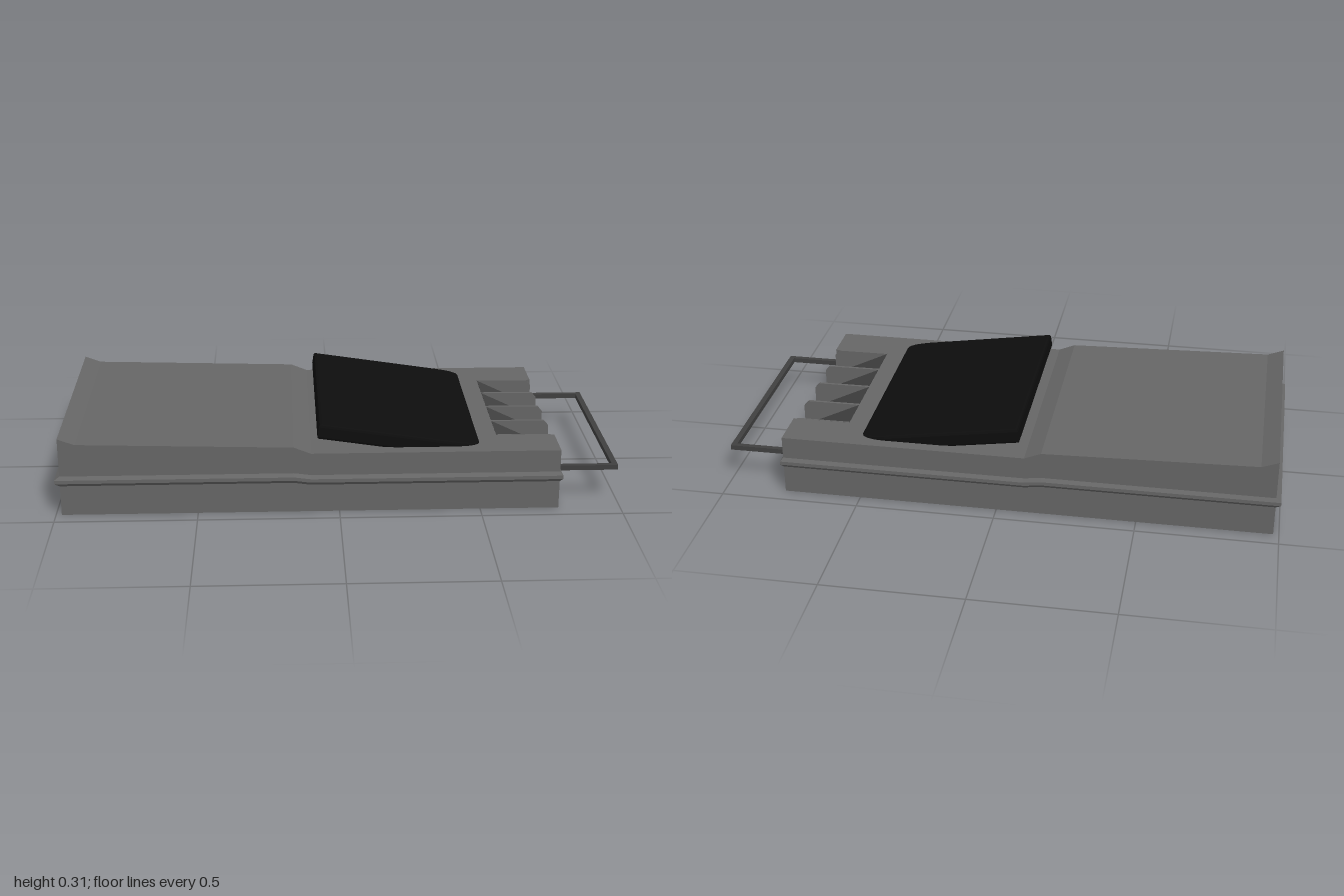
import * as THREE from 'three';

const mat = (color) => new THREE.MeshStandardMaterial({ color, flatShading: true });

export function createModel() {
  const model = new THREE.Group();
  const bodyMat = mat(0x666666), darkMat = mat(0x404040), blackMat = mat(0x0d0d0d);

  const add = (name, geometry, material, x = 0, y = 0, z = 0) => {
    const mesh = new THREE.Mesh(geometry, material);
    mesh.name = name;
    mesh.position.set(x, y, z);
    model.add(mesh);
    return mesh;
  };
  // Side profile in x/y, swept from z0 to z1
  const sweep = (name, points, z0, z1, material) => {
    const shape = new THREE.Shape(points.map(([x, y]) => new THREE.Vector2(x, y)));
    return add(name, new THREE.ExtrudeGeometry(shape, { depth: z1 - z0, bevelEnabled: false }), material, 0, 0, z0);
  };

  // Body: two full-length sides and a centre cut down at the end for the bays
  const deck = [[-0.1, 0.22], [-0.16, 0.244], [-0.92, 0.265], [-0.98, 0.287], [-0.98, 0]];
  const full = [[0.78, 0], [0.78, 0.22], ...deck];
  const cut = [[0.78, 0], [0.78, 0.13], [0.755, 0.13], [0.57, 0.218], [0.57, 0.22], ...deck];
  sweep('bodySide', full, 0.29, 0.44, bodyMat);
  sweep('bodySide', full, -0.44, -0.29, bodyMat);
  sweep('bodyCentre', cut, -0.29, 0.29, bodyMat);

  // Dark sloping bay panels
  sweep('bayPanel', [[0.57, 0.215], [0.755, 0.127], [0.78, 0.127], [0.78, 0.132], [0.757, 0.132], [0.57, 0.221]],
    -0.29, 0.29, darkMat);

  // Fins between the bays, and the thin ribs below them
  for (const z of [-0.287, -0.147, 0, 0.147, 0.287]) {
    const w = Math.abs(z) > 0.2 ? 0.003 : 0.005;
    sweep('bayFin', [[0.57, 0.215], [0.755, 0.127], [0.782, 0.127], [0.782, 0.2], [0.765, 0.22], [0.57, 0.221]],
      z - w, z + w, bodyMat);
    add('endRib', new THREE.BoxGeometry(0.006, 0.11, w * 2), bodyMat, 0.781, 0.055, z);
  }

  // Seam ridge: a bevelled band following the outline, a little lower past the step
  const outline = [[-0.98, 0.44], [-0.16, 0.44], [-0.1, 0.44], [0.78, 0.44],
    [0.78, -0.44], [-0.1, -0.44], [-0.16, -0.44], [-0.98, -0.44]];
  const section = [[0, 0.105], [1, 0.117], [1, 0.13], [0, 0.142]];
  const ringPoint = ([x, z], [out, y]) => {
    const dx = x < -0.9 ? -0.018 : x > 0.7 ? 0.01 : 0;
    return [x + dx * out, y + (x < -0.12 ? 0.005 : -0.003), z + Math.sign(z) * 0.01 * out];
  };
  const verts = [];
  outline.forEach((p, i) => {
    const q = outline[(i + 1) % outline.length];
    for (let s = 0; s < section.length - 1; s++) {
      const a = ringPoint(p, section[s]), b = ringPoint(q, section[s]);
      const c = ringPoint(q, section[s + 1]), d = ringPoint(p, section[s + 1]);
      verts.push(...a, ...b, ...c, ...a, ...c, ...d);
    }
  });
  const ridge = new THREE.BufferGeometry();
  ridge.setAttribute('position', new THREE.Float32BufferAttribute(verts, 3));
  ridge.computeVertexNormals();
  add('seamRidge', ridge, bodyMat);

  // Tilted black pad: bevelled plate, its low end sunk into the deck
  const plan = new THREE.Shape();
  plan.moveTo(-0.28, -0.385);
  plan.lineTo(0.2, -0.385);
  plan.quadraticCurveTo(0.28, -0.383, 0.28, -0.355);
  plan.lineTo(0.28, 0.355);
  plan.quadraticCurveTo(0.28, 0.383, 0.2, 0.385);
  plan.lineTo(-0.28, 0.385);
  plan.closePath();
  const pad = new THREE.ExtrudeGeometry(plan, {
    depth: 0.036, bevelThickness: 0.01, bevelSize: 0.01, bevelSegments: 2, curveSegments: 4,
  });
  pad.translate(0, 0, -0.046);
  pad.rotateX(-Math.PI / 2);
  pad.rotateZ(-0.15);
  add('tiltedPad', pad, blackMat, 0.217, 0.266, -0.003);

  // Pull handle
  add('handleBar', new THREE.BoxGeometry(0.02, 0.018, 0.75), darkMat, 0.99, 0.124, 0);
  for (const s of [-1, 1]) {
    add('handleArm', new THREE.BoxGeometry(0.22, 0.018, 0.018), darkMat, 0.87, 0.124, s * 0.366);
  }
  return model;
}
